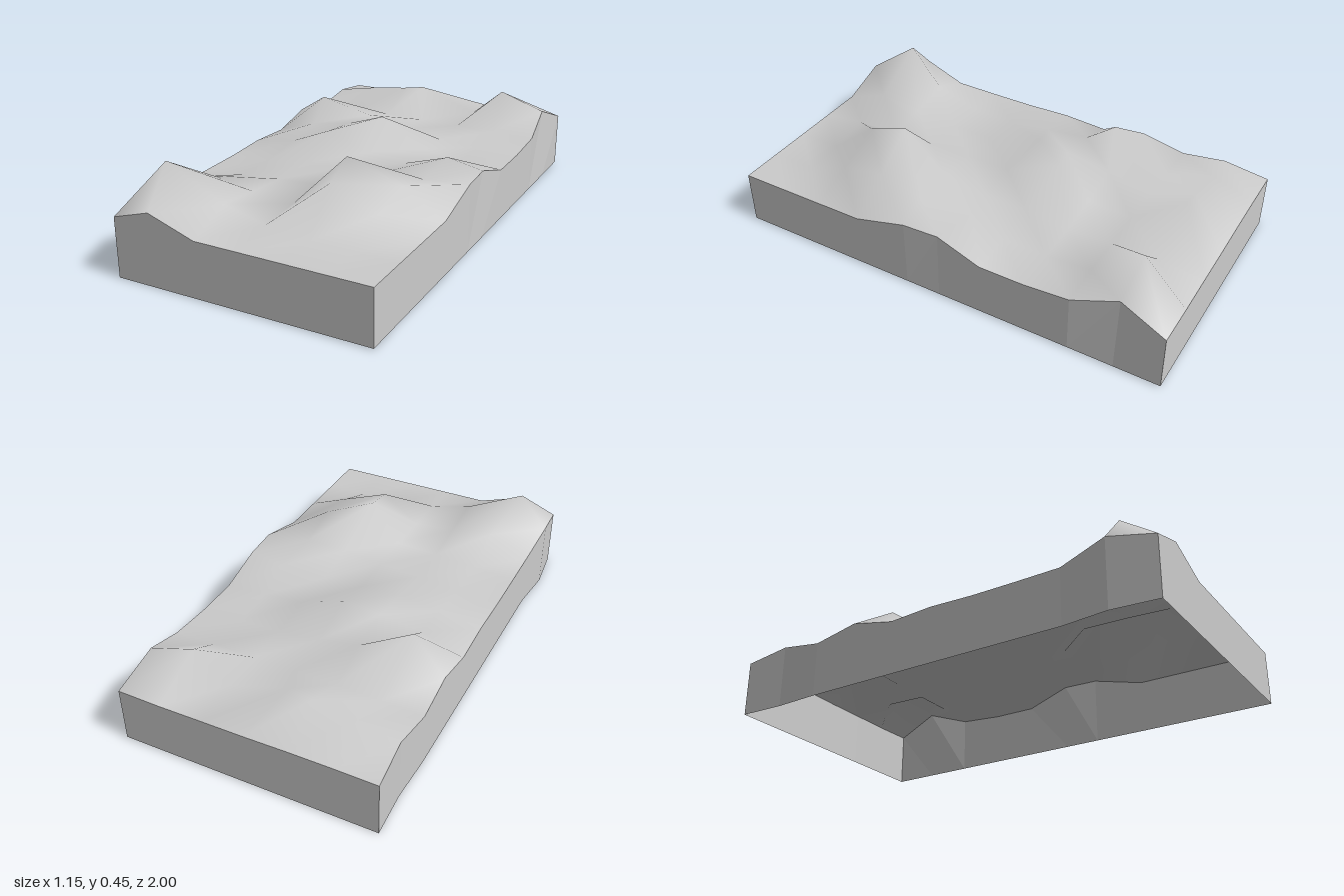
import * as THREE from 'three';

const COLS = 7, ROWS = 11, WIDTH = 1.13, DEPTH = 2;

// Ground heights: one row per z from back to front, x from -0.56 to 0.57
const HEIGHTS = [
  [0.247, 0.25, 0.25, 0.247, 0.247, 0.246, 0.25],
  [0.28, 0.315, 0.342, 0.36, 0.268, 0.398, 0.33],
  [0.245, 0.25, 0.26, 0.262, 0.262, 0.265, 0.26],
  [0.285, 0.395, 0.315, 0.275, 0.255, 0.25, 0.245],
  [0.24, 0.305, 0.335, 0.38, 0.275, 0.255, 0.245],
  [0.252, 0.28, 0.343, 0.29, 0.275, 0.32, 0.31],
  [0.245, 0.255, 0.275, 0.29, 0.305, 0.31, 0.31],
  [0.245, 0.26, 0.275, 0.285, 0.448, 0.355, 0.245],
  [0.247, 0.325, 0.295, 0.28, 0.40, 0.32, 0.245],
  [0.305, 0.447, 0.317, 0.27, 0.245, 0.245, 0.245],
  [0.263, 0.315, 0.245, 0.245, 0.245, 0.245, 0.245],
];

// Sideways shifts of single grid points: [row, column, dx, dz]
const SHIFTS = [
  [1, 0, 0.009, 0], [1, 3, -0.09, 0], [1, 5, -0.042, 0], [1, 6, -0.022, 0],
  [3, 1, -0.02, 0.07], [4, 3, -0.036, -0.04], [5, 2, -0.02, -0.05], [5, 5, 0, -0.05], [5, 6, -0.008, 0],
  [6, 6, 0, -0.04], [7, 4, -0.04, 0.03], [8, 4, -0.02, 0],
  [9, 0, -0.02, 0], [9, 1, -0.077, 0.002], [10, 1, -0.02, 0],
];

export function createModel() {
  const group = new THREE.Group();
  group.name = 'terrainSlab';
  const material = new THREE.MeshStandardMaterial({ color: 0xcccccc, side: THREE.DoubleSide });

  // Rolling ground: a plane lifted by the height grid
  const ground = new THREE.PlaneGeometry(WIDTH, DEPTH, COLS - 1, ROWS - 1).rotateX(-Math.PI / 2);
  ground.translate(0.009, 0, 0);
  const pos = ground.attributes.position;
  HEIGHTS.flat().forEach((h, i) => pos.setY(i, h));
  for (const [r, c, dx, dz] of SHIFTS) {
    const i = r * COLS + c;
    pos.setX(i, pos.getX(i) + dx);
    pos.setZ(i, pos.getZ(i) + dz);
  }
  ground.computeVertexNormals();
  const groundMesh = new THREE.Mesh(ground, material);
  groundMesh.name = 'ground';
  group.add(groundMesh);

  // Side walls: each border edge dropped to the foot, open underneath
  const at = (r, c) => new THREE.Vector3().fromBufferAttribute(pos, r * COLS + c);
  const rows = [...Array(ROWS).keys()], cols = [...Array(COLS).keys()];
  const sides = {
    frontWall: cols.map(c => at(ROWS - 1, c)),
    rightEdgeWall: rows.map(r => at(ROWS - 1 - r, COLS - 1)),
    backWall: cols.map(c => at(0, COLS - 1 - c)),
    leftEdgeWall: rows.map(r => at(r, 0)),
  };
  for (const [name, edge] of Object.entries(sides)) {
    const foot = edge.map(p => {
      const x = name === 'rightEdgeWall' ? 0.574 : p.x;
      return new THREE.Vector3(x, 0.004 * (x + 0.576), p.z);
    });
    const points = [];
    for (let i = 0; i < edge.length - 1; i++) {
      points.push(foot[i], foot[i + 1], edge[i + 1], foot[i], edge[i + 1], edge[i]);
    }
    const wall = new THREE.BufferGeometry().setFromPoints(points);
    wall.computeVertexNormals();
    const mesh = new THREE.Mesh(wall, material);
    mesh.name = name;
    group.add(mesh);
  }
  return group;
}
